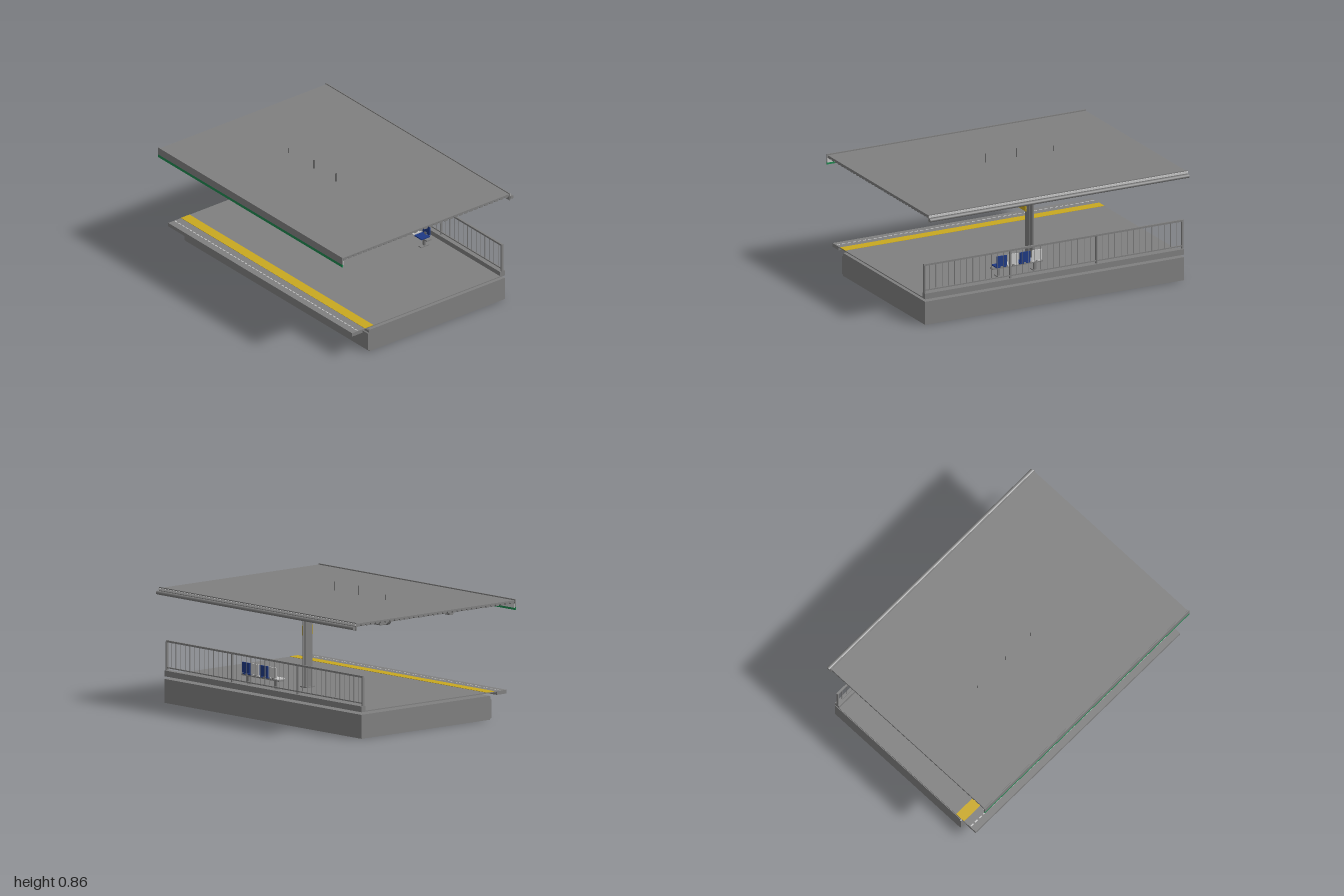
import * as THREE from 'three';

const mat = (name, color, side = THREE.FrontSide) => {
  const m = new THREE.MeshStandardMaterial({ color, side });
  m.name = name;
  return m;
};

export function createModel() {
  const model = new THREE.Group();
  model.name = 'stationPlatform';
  const grey = mat('concrete and steel grey', 0x808080);
  const light = mat('light grey', 0xcacaca);
  const yellow = mat('yellow', 0xc9a820);
  const navy = mat('navy blue', 0x1f3a85);
  const green = mat('green', 0x1f8a50);
  const dark = mat('dark grey', 0x303030);

  const add = (name, geo, material, parent = model) => {
    const mesh = new THREE.Mesh(geo, material);
    mesh.name = name;
    parent.add(mesh);
    return mesh;
  };
  // box given by its minimum and maximum on each axis
  const box = (name, m, x0, x1, y0, y1, z0, z1, parent) => {
    const b = add(name, new THREE.BoxGeometry(x1 - x0, y1 - y0, z1 - z0), m, parent);
    b.position.set((x0 + x1) / 2, (y0 + y1) / 2, (z0 + z1) / 2);
    return b;
  };
  // side profile in x and y, extruded along z
  const profile = (name, m, pts, z0, z1, parent) => {
    const shape = new THREE.Shape(pts.map(p => new THREE.Vector2(p[0], p[1])));
    const geo = new THREE.ExtrudeGeometry(shape, { depth: z1 - z0, bevelEnabled: false });
    geo.translate(0, 0, z0);
    return add(name, geo, m, parent);
  };
  const rod = (name, m, r, x, y0, y1, z, parent) => {
    const c = add(name, new THREE.CylinderGeometry(r, r, y1 - y0, 8), m, parent);
    c.position.set(x, (y0 + y1) / 2, z);
    return c;
  };
  const group = name => {
    const g = new THREE.Group();
    g.name = name;
    model.add(g);
    return g;
  };

  // foundation and platform deck
  profile('foundation', grey, [[-0.51, 0], [0.67, 0], [0.67, 0.165], [-0.505, 0.165],
    [-0.512, 0.158], [-0.512, 0.142], [-0.52, 0.138], [-0.52, 0.01], [-0.51, 0.008]], -1, 1);
  box('platformDeck', grey, -0.58, 0.67, 0.183, 0.19, -1, 1);
  box('platformEdge', grey, -0.66, -0.57, 0.164, 0.19, -1, 1);
  box('safetyLine', yellow, -0.55, -0.475, 0.189, 0.192, -1, 1);
  const studs = group('edgeStuds');
  for (let i = 0; i < 50; i++) {
    const z = -0.98 + i * 0.04;
    box('edgeStud', light, -0.612, -0.604, 0.189, 0.1915, z - 0.012, z + 0.012, studs);
  }
  box('kerb', grey, 0.63, 0.67, 0.19, 0.223, -1, 1);

  // railing
  const railing = group('railing');
  box('topRail', grey, 0.643, 0.657, 0.417, 0.43, -1, 1, railing);
  box('bottomRail', grey, 0.645, 0.655, 0.238, 0.246, -1, 1, railing);
  for (const z of [-0.995, -0.333, 0.333, 0.995])
    box('railPost', grey, 0.642, 0.658, 0.22, 0.42, z - 0.005, z + 0.005, railing);
  for (let i = 1; i < 42; i++)
    rod('baluster', grey, 0.0022, 0.65, 0.242, 0.42, -1 + i * 2 / 42, railing);

  // canopy roof with ribbed underside
  const canopy = group('canopy');
  const n = 33, x0 = -0.735, pitch = 1.45 / n;
  const ribs = [[0.715, 0.797], [x0, 0.797]];
  for (let i = 0; i < n; i++) {
    const x = x0 + i * pitch;
    ribs.push([x, 0.787], [x + pitch * 0.2, 0.775], [x + pitch * 0.7, 0.775], [x + pitch * 0.9, 0.787]);
  }
  ribs.push([0.715, 0.787]);
  profile('roofSheet', grey, ribs, -0.995, 0.995, canopy);
  box('frontFascia', grey, -0.747, -0.738, 0.75, 0.804, -1, 1, canopy);
  box('fasciaLining', light, -0.738, -0.734, 0.745, 0.775, -1, 1, canopy);
  box('fasciaStripe', green, -0.747, -0.739, 0.73, 0.75, -1, 1, canopy);
  box('rearFascia', grey, 0.711, 0.718, 0.75, 0.804, -1, 1, canopy);
  box('rearFlashing', light, 0.718, 0.724, 0.783, 0.797, -1, 1, canopy);
  const gutter = add('gutterPipe', new THREE.CylinderGeometry(0.013, 0.013, 2, 12), grey, canopy);
  gutter.rotation.x = Math.PI / 2;
  gutter.position.set(0.735, 0.768, 0);

  // roof beams: a deep cantilever in the middle, shallow ones beside it
  profile('cantileverArm', grey, [[-0.735, 0.752], [-0.54, 0.75], [0.22, 0.715], [0.31, 0.712],
    [0.64, 0.75], [0.711, 0.752], [0.711, 0.78], [-0.735, 0.78]], -0.033, 0.002, canopy);
  for (const z of [-0.67, 0.67])
    box('crossBeam', grey, -0.735, 0.711, 0.75, 0.78, z - 0.015, z + 0.015, canopy);
  for (const x of [-0.2, 0.435]) {
    profile('lightStrip', grey, [[x - 0.02, 0.757], [x - 0.012, 0.75], [x + 0.012, 0.75],
      [x + 0.02, 0.757], [x + 0.014, 0.776], [x - 0.014, 0.776]], -0.95, 0.95, canopy);
  }

  // column made of two plates joined at the rear
  const column = group('column');
  box('columnFrontPlate', grey, 0.25, 0.305, 0.19, 0.72, -0.003, 0.002, column);
  box('columnBackPlate', grey, 0.25, 0.31, 0.19, 0.72, -0.036, -0.022, column);
  box('columnBase', grey, 0.235, 0.312, 0.19, 0.199, -0.045, 0.02, column);
  box('columnHead', grey, 0.245, 0.312, 0.7, 0.725, -0.036, 0.01, column);
  box('columnSign', yellow, 0.197, 0.293, 0.545, 0.61, 0.015, 0.023, column);
  for (const y of [0.56, 0.595])
    box('signBracket', grey, 0.26, 0.28, y - 0.004, y + 0.004, 0, 0.016, column);
  box('columnSpeaker', light, 0.222, 0.248, 0.67, 0.722, -0.02, 0.012, column);

  // hanging information board, printed on both faces
  const board = group('informationBoard');
  const bx = -0.095;
  profile('boardCase', grey, [[bx - 0.016, 0.6], [bx + 0.016, 0.6], [bx + 0.019, 0.61], [bx + 0.015, 0.655],
    [bx + 0.019, 0.69], [bx + 0.013, 0.702], [bx - 0.013, 0.702], [bx - 0.019, 0.69],
    [bx - 0.015, 0.655], [bx - 0.019, 0.61]], -0.155, 0.155, board);
  for (const s of [-1, 1]) {
    const x = bx + s * 0.0185;
    box('boardHeader', yellow, x - 0.002, x + 0.002, 0.658, 0.69, -0.143, 0.143, board);
    box('boardPanel', light, x - 0.002, x + 0.002, 0.61, 0.652, -0.143, 0.143, board);
    rod('boardRod', dark, 0.0025, bx, 0.7, 0.86, s * 0.12, board);
  }

  // double-sided clock
  const clock = group('clock');
  clock.position.set(bx, 0.668, -0.4);
  const body = add('clockCase', new THREE.CylinderGeometry(0.043, 0.043, 0.03, 32), grey, clock);
  body.rotation.z = Math.PI / 2;
  for (const s of [-1, 1]) {
    const face = add('clockFace', new THREE.CylinderGeometry(0.039, 0.039, 0.004, 32), light, clock);
    face.rotation.z = Math.PI / 2;
    face.position.x = s * 0.0145;
    const x = s * 0.0175;
    box('minuteHand', dark, x - 0.001, x + 0.001, 0, 0.03, -0.0015, 0.0015, clock);
    box('hourHand', dark, x - 0.001, x + 0.001, -0.0015, 0.0015, Math.min(0, -s * 0.02), Math.max(0, -s * 0.02), clock);
  }
  rod('clockRod', dark, 0.0025, 0, 0.04, 0.165, 0, clock);

  // row of seats in alternating colours
  const bench = group('bench');
  box('benchBeam', grey, 0.475, 0.515, 0.25, 0.26, 0.005, 0.395, bench);
  for (const z of [0.06, 0.34]) {
    box('benchLeg', grey, 0.49, 0.502, 0.195, 0.252, z - 0.01, z + 0.01, bench);
    box('benchFoot', grey, 0.458, 0.532, 0.19, 0.197, z - 0.015, z + 0.015, bench);
  }
  [0.06, 0.15, 0.24, 0.33].forEach((z, i) => {
    const m = i % 2 ? navy : light;
    box('seat', m, 0.45, 0.522, 0.26, 0.268, z - 0.039, z + 0.039, bench);
    box('seatBack', m, 0.52, 0.528, 0.272, 0.345, z - 0.039, z + 0.039, bench);
    box('seatHinge', grey, 0.514, 0.524, 0.255, 0.285, z - 0.008, z + 0.008, bench);
  });

  return model;
}
